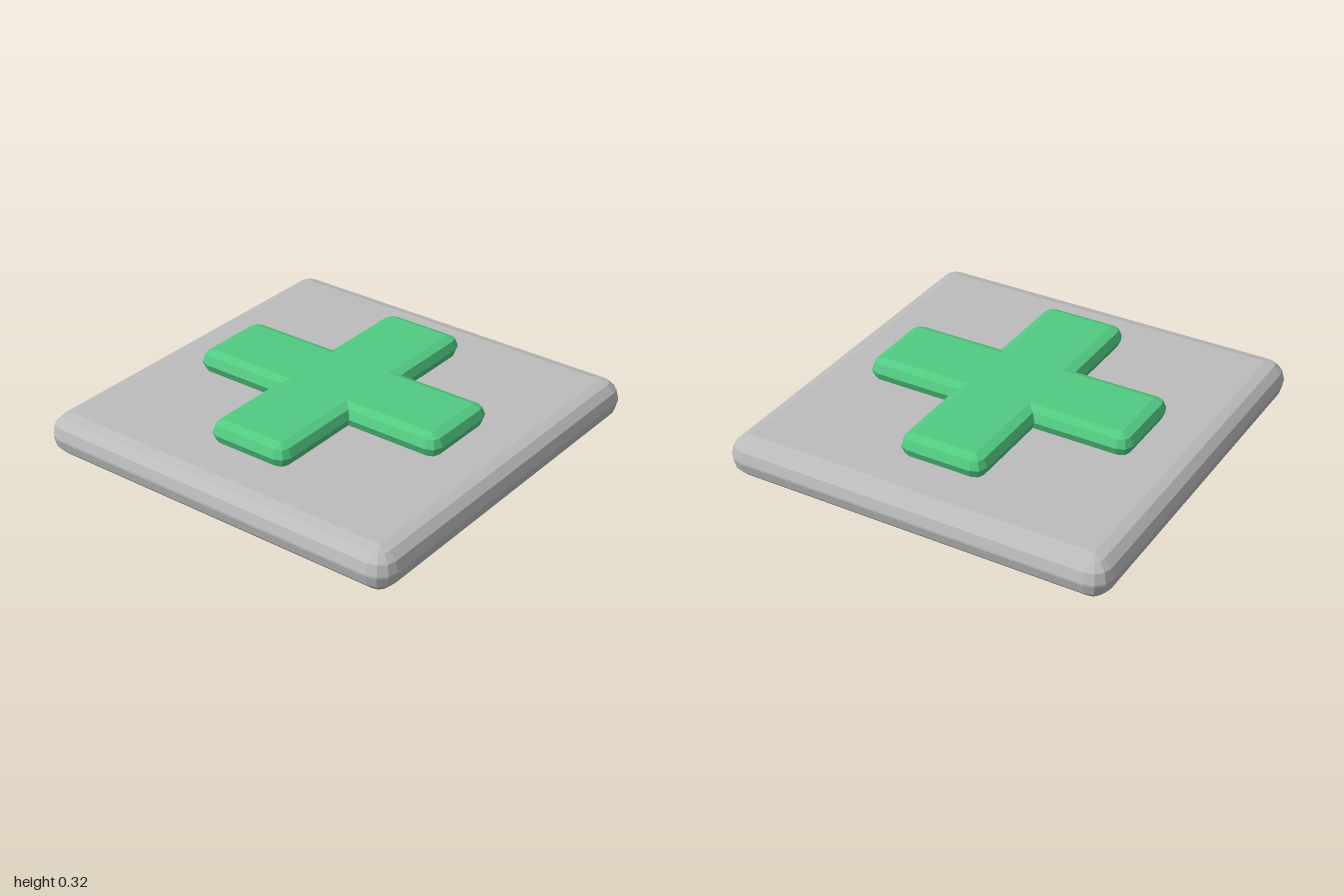
import * as THREE from 'three';

// Outline of the core polygon (counter-clockwise, right-angled) pushed out by d:
// convex corners become arcs, concave corners stay sharp.
function offsetOutline(core, d, segments) {
  const points = [];
  core.forEach((p, i) => {
    const prev = core[(i + core.length - 1) % core.length];
    const next = core[(i + 1) % core.length];
    const e1 = p.clone().sub(prev).normalize();
    const e2 = next.clone().sub(p).normalize();
    const n1 = new THREE.Vector2(e1.y, -e1.x);
    const n2 = new THREE.Vector2(e2.y, -e2.x);
    if (e1.cross(e2) < 0) {
      points.push(p.clone().addScaledVector(n1, d).addScaledVector(n2, d));
      return;
    }
    for (let k = 0; k <= segments; k++) {
      const a = n1.angle() + (k / segments) * Math.PI / 2;
      points.push(new THREE.Vector2(p.x + d * Math.cos(a), p.y + d * Math.sin(a)));
    }
  });
  return points;
}

// Flat slab between y0 and y1 with faceted round edges of the given radius.
function roundedSlab(core, y0, y1, radius, segments) {
  const rings = [];
  const addRing = (angle, centreY) => {
    const y = centreY + radius * Math.sin(angle);
    const outline = offsetOutline(core, radius * Math.cos(angle), segments);
    rings.push(outline.map(p => new THREE.Vector3(p.x, y, -p.y)));
  };
  const step = Math.PI / 2 / segments;
  for (let k = -segments; k <= 0; k++) addRing(k * step, y0 + radius);
  for (let k = 0; k <= segments; k++) addRing(k * step, y1 - radius);

  const positions = [];
  const addTriangle = (a, b, c) => {
    if (new THREE.Triangle(a, b, c).getArea() < 1e-7) return;
    for (const v of [a, b, c]) positions.push(v.x, v.y, v.z);
  };
  // edge facets
  for (let r = 0; r < rings.length - 1; r++) {
    const low = rings[r], high = rings[r + 1], n = low.length;
    for (let i = 0; i < n; i++) {
      const j = (i + 1) % n;
      addTriangle(low[i], low[j], high[j]);
      addTriangle(low[i], high[j], high[i]);
    }
  }
  // top and bottom faces
  for (const [i, j, k] of THREE.ShapeUtils.triangulateShape(core, [])) {
    const at = (index, y) => new THREE.Vector3(core[index].x, y, -core[index].y);
    addTriangle(at(i, y1), at(j, y1), at(k, y1));
    addTriangle(at(i, y0), at(k, y0), at(j, y0));
  }
  const geometry = new THREE.BufferGeometry();
  geometry.setAttribute('position', new THREE.Float32BufferAttribute(positions, 3));
  geometry.computeVertexNormals();
  return geometry;
}

const toPoints = list => list.map(([x, y]) => new THREE.Vector2(x, y));

export function createModel() {
  const group = new THREE.Group();
  const grey = new THREE.MeshStandardMaterial({ color: 0xbcbcbc });
  grey.name = 'grey';
  const green = new THREE.MeshStandardMaterial({ color: 0x52cb82 });
  green.name = 'green';

  // square base plate
  const s = 0.9;
  const square = toPoints([[-s, -s], [s, -s], [s, s], [-s, s]]);
  const base = new THREE.Mesh(roundedSlab(square, 0, 0.21, 0.1, 3), grey);
  base.name = 'basePlate';
  group.add(base);

  // raised plus sign with equal arms
  const l = 0.65, w = 0.165;
  const plus = toPoints([
    [-w, -l], [w, -l], [w, -w], [l, -w], [l, w], [w, w],
    [w, l], [-w, l], [-w, w], [-l, w], [-l, -w], [-w, -w],
  ]);
  const cross = new THREE.Mesh(roundedSlab(plus, 0.2, 0.32, 0.06, 2), green);
  cross.name = 'plusSign';
  group.add(cross);

  return group;
}
